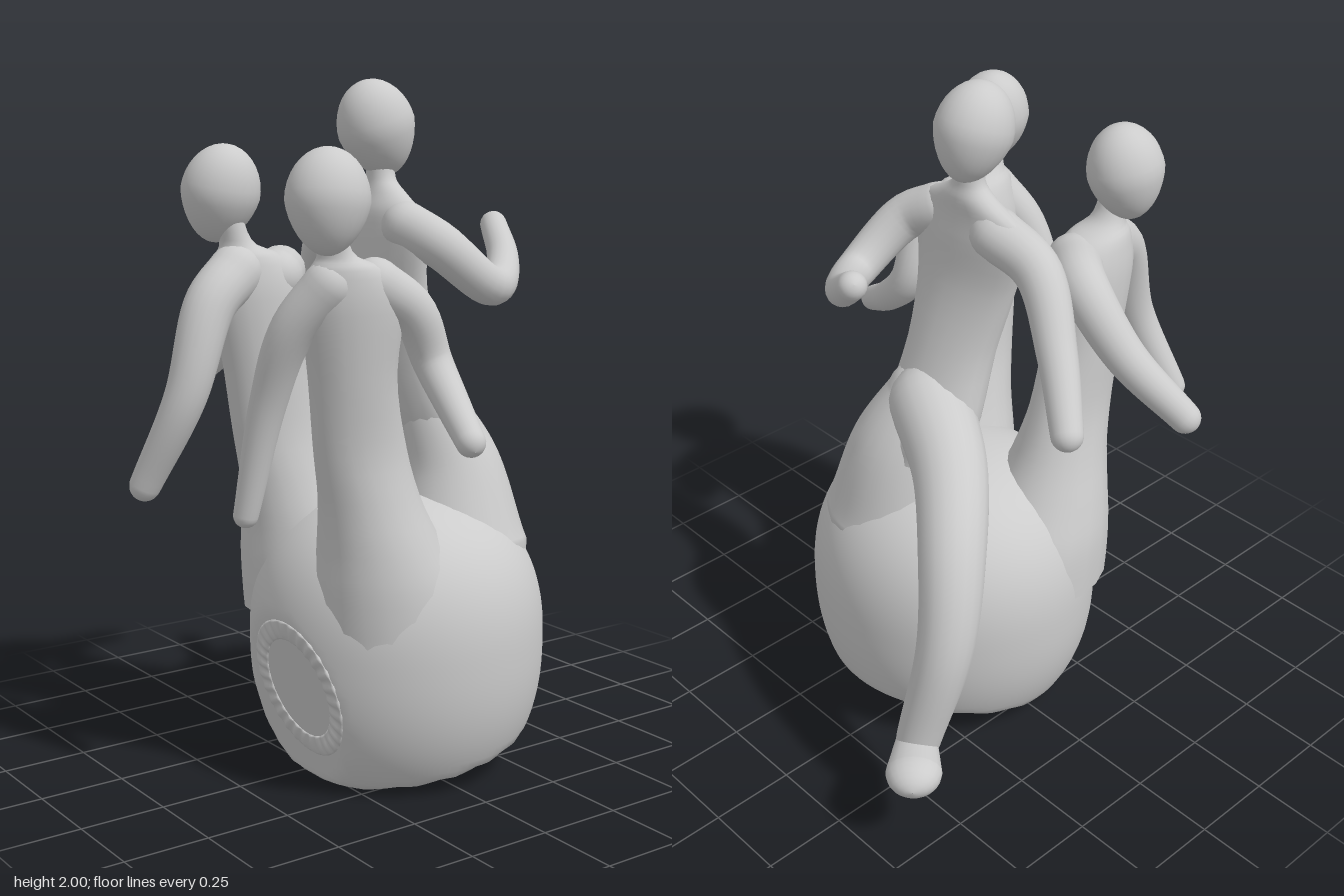
import * as THREE from 'three';
import { mergeVertices } from 'three/addons/utils/BufferGeometryUtils.js';

const clay = new THREE.MeshStandardMaterial({ color: 0xcccccc });
const SIDES = 20;

function part(name, geometry, parent) {
  const mesh = new THREE.Mesh(geometry, clay);
  mesh.name = name;
  parent.add(mesh);
  return mesh;
}

function group(name, parent) {
  const g = new THREE.Group();
  g.name = name;
  parent.add(g);
  return g;
}

// Moves every vertex by a rule and welds the seams for smooth shading
function reshape(geometry, rule) {
  geometry.deleteAttribute('uv');
  geometry.deleteAttribute('normal');
  const p = geometry.attributes.position, v = new THREE.Vector3();
  for (let i = 0; i < p.count; i++) {
    rule(v.fromBufferAttribute(p, i));
    p.setXYZ(i, v.x, v.y, v.z);
  }
  const welded = mergeVertices(geometry, 1e-5);
  welded.computeVertexNormals();
  return welded;
}

// Skin over rings; each ring has a centre and two half-axes u, v
function skin(rings) {
  const pos = [], idx = [];
  rings.forEach(({ c, u, v }, i) => {
    for (let j = 0; j < SIDES; j++) {
      const a = (j / SIDES) * Math.PI * 2;
      const p = c.clone().addScaledVector(u, Math.cos(a)).addScaledVector(v, Math.sin(a));
      pos.push(p.x, p.y, p.z);
      if (i === rings.length - 1) continue;
      const k = (j + 1) % SIDES, r = i * SIDES, s = r + SIDES;
      idx.push(r + j, r + k, s + k, r + j, s + k, s + j);
    }
  });
  const g = new THREE.BufferGeometry();
  g.setAttribute('position', new THREE.Float32BufferAttribute(pos, 3));
  g.setIndex(idx);
  g.computeVertexNormals();
  return g;
}

// Round-ended limb along a curve, its radius running from r0 to r1
function limb(r0, r1, ...points) {
  const curve = new THREE.CatmullRomCurve3(points.map((p) => new THREE.Vector3(...p)));
  const n = 28, caps = 6;
  const { tangents, normals, binormals } = curve.computeFrenetFrames(n);
  const rings = [];
  const ring = (i, angle) => {
    const r = THREE.MathUtils.lerp(r0, r1, i / n);
    const w = Math.max(r * Math.cos(angle), 0.0005);
    rings.push({
      c: curve.getPointAt(i / n).addScaledVector(tangents[i], r * Math.sin(angle)),
      u: normals[i].clone().multiplyScalar(w),
      v: binormals[i].clone().multiplyScalar(w),
    });
  };
  for (let k = caps; k > 0; k--) ring(0, -(k / caps) * Math.PI / 2);
  for (let i = 0; i <= n; i++) ring(i, 0);
  for (let k = 1; k <= caps; k++) ring(n, (k / caps) * Math.PI / 2);
  return skin(rings);
}

// Upright trunk through level ovals [y, z, rx, rz], bending sideways by lean towards the top
function trunk(x, lean, sections) {
  const bottom = sections[0][0], height = sections.at(-1)[0] - bottom;
  const centres = new THREE.CatmullRomCurve3(sections.map(([y, z]) =>
    new THREE.Vector3(x + lean * ((y - bottom) / height) ** 2, y, z)));
  const sizes = new THREE.SplineCurve(sections.map((s) => new THREE.Vector2(s[2], s[3])));
  const rings = [];
  for (let i = 0; i <= 32; i++) {
    const s = sizes.getPoint(i / 32);
    rings.push({ c: centres.getPoint(i / 32), u: new THREE.Vector3(0, 0, s.y), v: new THREE.Vector3(s.x, 0, 0) });
  }
  return skin(rings);
}

// Egg-shaped head, narrowing to the chin
function head(parent, x, y, z, tiltX, tiltZ) {
  const mesh = part('head', reshape(new THREE.SphereGeometry(1, 24, 18), (v) => {
    const taper = 1 + 0.18 * Math.min(v.y, 0);
    v.set(v.x * 0.106 * taper, v.y * 0.14, v.z * 0.115 * taper);
  }), parent);
  mesh.position.set(x, y, z);
  mesh.rotation.set(tiltX, 0, tiltZ);
}

// Round boulder with a cut front, a sloping underside and a shallow hollow below
function boulder(parent) {
  part('boulder', reshape(new THREE.SphereGeometry(1, 80, 60), (v) => {
    const e = 2.35;
    v.multiplyScalar((Math.hypot(v.x, v.z) ** e + Math.abs(v.y) ** e) ** (-1 / e));
    v.set(0.045 + v.x * 0.445, 0.39 + v.y * (v.y > 0 ? 0.44 : 0.51), -0.02 + v.z * 0.43);
    v.z = Math.min(v.z, 0.28 + 0.24 * v.y);
    const floor = 0.06 - 0.21 * v.z;
    if (v.y < floor) {
      const r = Math.hypot(v.x - 0.04, v.z + 0.04) / 0.28;
      v.y = floor + 0.05 * Math.max(0, 1 - r * r);
    }
  }), parent);

  // Low crimped ring on the front cut
  const ring = part('crimpedRing', reshape(new THREE.TorusGeometry(0.18, 0.03, 10, 144), (v) => {
    v.z *= 0.2 + 0.15 * Math.sin(Math.atan2(v.y, v.x) * 28);
  }), parent);
  ring.position.set(0.08, 0.29, 0.35);
  ring.rotation.x = Math.atan(0.24);
}

// Figure facing backwards with one leg hanging over the edge
function rearFigure(parent) {
  const g = group('rearFigure', parent);
  head(g, -0.01, 1.86, 0.01, 0.35, 0);
  part('torso', trunk(0.02, -0.03, [
    [0.9, -0.18, 0.1, 0.08],
    [0.98, -0.14, 0.16, 0.11],
    [1.22, -0.05, 0.15, 0.1],
    [1.42, 0, 0.18, 0.08],
    [1.56, 0.01, 0.21, 0.07],
    [1.63, 0.01, 0.19, 0.06],
    [1.68, 0, 0.1, 0.05],
    [1.72, 0, 0.05, 0.04],
    [1.8, 0, 0.04, 0.04],
  ]), g);
  part('leftArm', limb(0.07, 0.04, [0.13, 1.59, 0.01], [0.22, 1.54, -0.04], [0.25, 1.42, -0.2],
    [0.1, 1.48, -0.37], [-0.03, 1.57, -0.44]), g);
  part('rightArm', limb(0.075, 0.045, [-0.1, 1.59, 0.01], [-0.25, 1.53, 0.02], [-0.4, 1.36, -0.05],
    [-0.53, 1.21, -0.14]), g);
  part('rightLeg', limb(0.12, 0.065, [0.01, 1.06, -0.14], [-0.18, 0.97, -0.24], [-0.33, 0.82, -0.37],
    [-0.4, 0.6, -0.46], [-0.37, 0.28, -0.54]), g);
  const foot = part('rightFoot', limb(0.06, 0.08, [-0.36, 0, -0.54], [-0.45, 0, -0.63]), g);
  foot.position.y = 0.26;
  foot.scale.y = 0.75;
  part('leftLeg', limb(0.1, 0.21, [0.07, 1.06, -0.12], [0.11, 0.88, -0.17], [0.14, 0.65, -0.17]), g);
}

// Trunk, spreading into the boulder, and head of a figure at the front
function frontFigure(name, parent, x, lean, headX, tilt) {
  const g = group(name, parent);
  head(g, headX, 1.68, 0.415, -0.1, tilt);
  part('torso', trunk(x, lean, [
    [0.45, 0.1, 0.21, 0.24],
    [0.6, 0.13, 0.2, 0.22],
    [0.72, 0.17, 0.17, 0.18],
    [0.85, 0.21, 0.13, 0.15],
    [1, 0.25, 0.1, 0.14],
    [1.2, 0.29, 0.1, 0.13],
    [1.4, 0.31, 0.1, 0.15],
    [1.5, 0.34, 0.08, 0.11],
    [1.54, 0.38, 0.05, 0.05],
    [1.62, 0.41, 0.04, 0.04],
  ]), g);
  return g;
}

export function createModel() {
  const model = new THREE.Group();
  model.name = 'seatedFigures';
  boulder(model);
  rearFigure(model);

  const right = frontFigure('rightFigure', model, -0.18, 0.01, -0.2, -0.18);
  part('leftArm', limb(0.08, 0.045, [-0.15, 1.46, 0.4], [-0.12, 1.38, 0.5], [-0.11, 1.13, 0.59],
    [-0.21, 0.87, 0.67]), right);
  part('rightArm', limb(0.08, 0.045, [-0.16, 1.44, 0.26], [-0.28, 1.44, 0.17], [-0.44, 1.28, 0.18],
    [-0.6, 1.12, 0.26]), right);

  const left = frontFigure('leftFigure', model, 0.22, 0.12, 0.34, 0.1);
  part('leftArm', limb(0.07, 0.04, [0.33, 1.46, 0.26], [0.35, 1.38, 0.15], [0.36, 1.24, 0.09],
    [0.46, 1.14, 0.1], [0.59, 1.06, 0.14]), left);
  part('rightArm', limb(0.07, 0.035, [0.32, 1.46, 0.4], [0.25, 1.34, 0.47], [0.18, 1.15, 0.5],
    [0.12, 0.83, 0.54]), left);
  return model;
}
